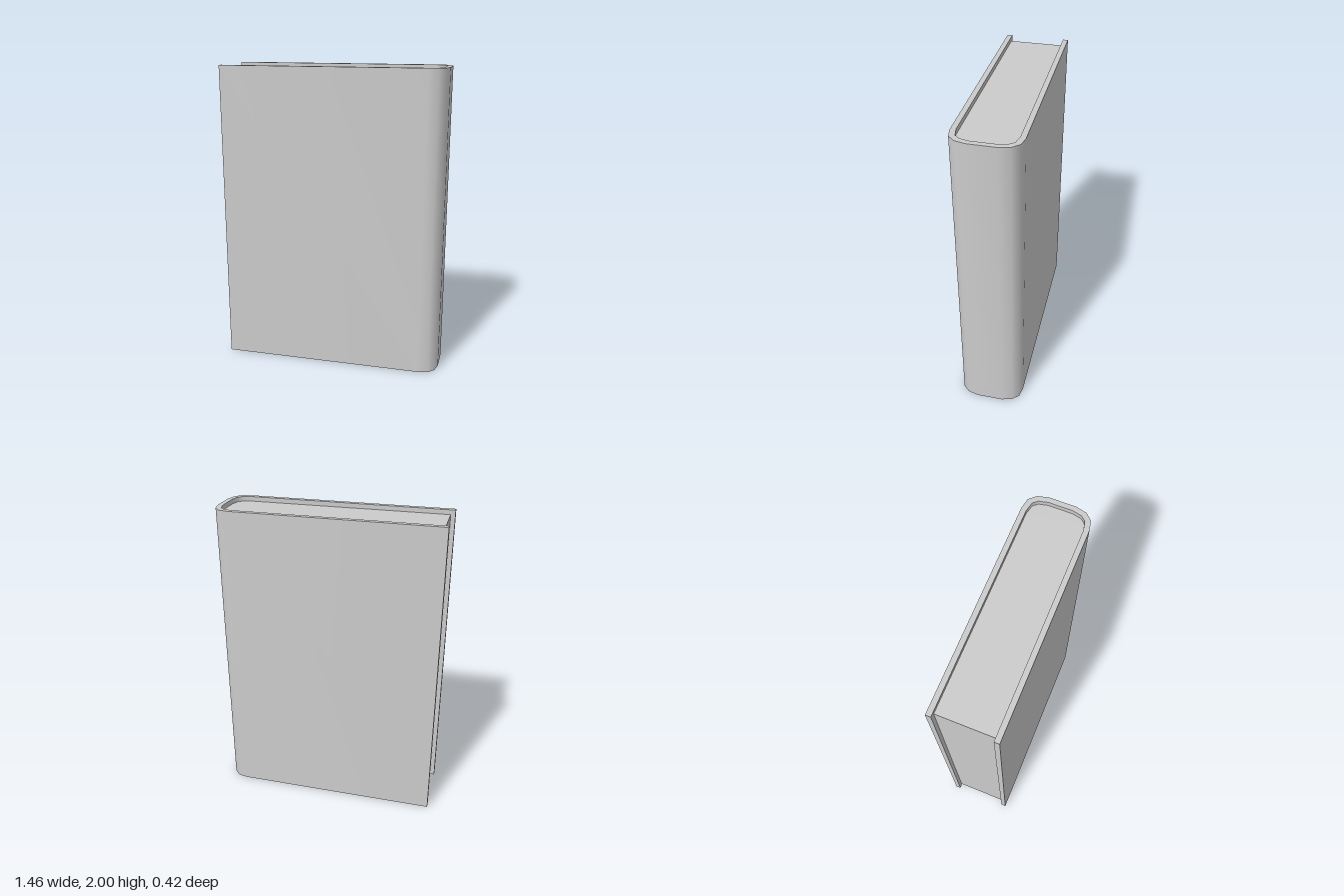
import * as THREE from 'three';
import { toCreasedNormals } from 'three/addons/utils/BufferGeometryUtils.js';

const HEIGHT = 2;
const PAGE_INSET = 0.03;

// Half of the rounded spine, from the flat board to the spine (x, half thickness)
const outerCurve = [[0.61, 0.208], [0.675, 0.195], [0.715, 0.153], [0.732, 0.085]];
const innerCurve = [[0.6, 0.175], [0.66, 0.162], [0.686, 0.132], [0.699, 0.075]];

// U-shaped outline: front board, round the spine, back board
function uOutline(startX, curve) {
  const half = [[startX, curve[0][1]], ...curve];
  const mirrored = half.map(([x, y]) => [x, -y]).reverse();
  return [...half, ...mirrored].map(([x, y]) => new THREE.Vector2(x, y));
}

// Upright prism with a smooth spine and sharp edges
function prism(name, points, y0, y1, material) {
  const geometry = new THREE.ExtrudeGeometry(new THREE.Shape(points), {
    depth: y1 - y0,
    bevelEnabled: false,
  });
  geometry.rotateX(-Math.PI / 2);
  geometry.translate(0, y0, 0);
  const mesh = new THREE.Mesh(toCreasedNormals(geometry, 0.9), material);
  mesh.name = name;
  return mesh;
}

export function createModel() {
  const book = new THREE.Group();
  book.name = 'book';
  const material = new THREE.MeshStandardMaterial({ color: 0xcccccc });

  // Cover: two boards joined by the rounded spine
  const coverOutline = [
    ...uOutline(-0.732, outerCurve),
    ...uOutline(-0.732, innerCurve).reverse(),
  ];
  book.add(prism('cover', coverOutline, 0, HEIGHT, material));

  // Page block, set back from the cover's edges
  const pageOutline = uOutline(-0.703, innerCurve);
  book.add(prism('pages', pageOutline, PAGE_INSET, HEIGHT - PAGE_INSET, material));

  return book;
}
